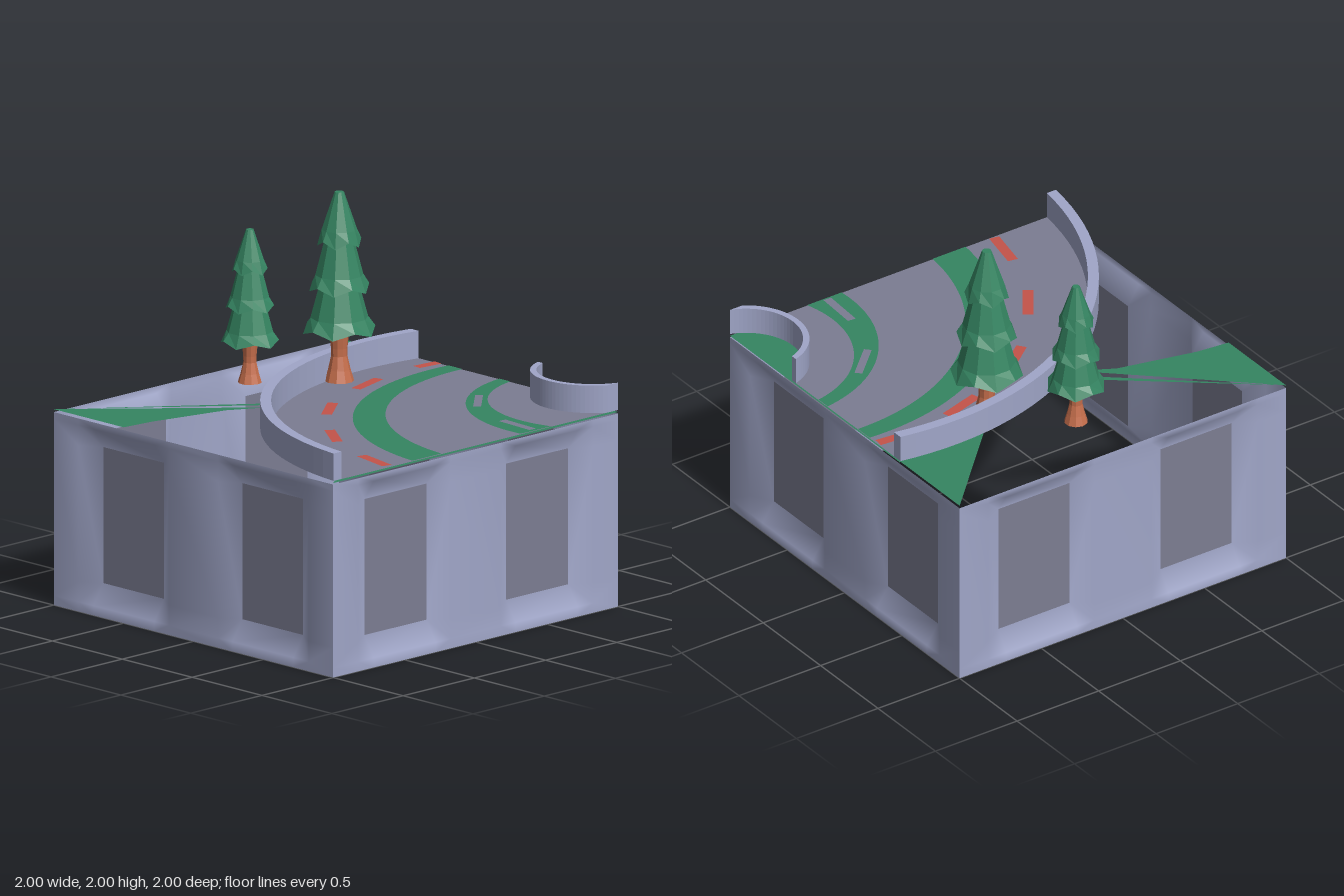
import * as THREE from 'three';

const mat = (name, color) => {
  const m = new THREE.MeshStandardMaterial({ color, side: THREE.DoubleSide });
  m.name = name;
  return m;
};

export function createModel() {
  const stone = mat('paleStone', 0xa0a6c8);
  const asphalt = mat('asphalt', 0x7c7d92);
  const green = mat('grassGreen', 0x358562);
  const red = mat('markingRed', 0xc4534a);
  const bark = mat('bark', 0xc56e4c);

  const model = new THREE.Group();
  model.name = 'raisedCornerRoad';

  const add = (parent, name, geometry, material) => {
    const mesh = new THREE.Mesh(geometry, material);
    mesh.name = name;
    parent.add(mesh);
    return mesh;
  };

  // Flat or raised piece from [x, z] points, starting at height y
  const plan = (name, points, y, material, height = 0) => {
    const shape = new THREE.Shape(points.map(([x, z]) => new THREE.Vector2(x, -z)));
    const geometry = height
      ? new THREE.ExtrudeGeometry(shape, { depth: height, bevelEnabled: false })
      : new THREE.ShapeGeometry(shape);
    geometry.rotateX(-Math.PI / 2);
    geometry.translate(0, y, 0);
    return add(model, name, geometry, material);
  };

  // Arc clipped by the front edge (z = 1) and the left edge (x = 1)
  const arc = ([cx, cz, r], n = 32) => {
    const a0 = Math.PI - Math.asin((1 - cz) / r);
    const a1 = 2 * Math.PI - Math.acos((1 - cx) / r);
    return Array.from({ length: n + 1 }, (_, i) => {
      const a = a0 + (a1 - a0) * i / n;
      return [cx + r * Math.cos(a), cz + r * Math.sin(a)];
    });
  };
  const band = (outer, inner) => [...arc(outer), ...arc(inner).reverse()];

  // Walls: a grid with two sloping recesses each
  const xs = [-1, -0.825, -0.715, -0.28, -0.175, 0.175, 0.28, 0.715, 0.825, 1];
  const ys = [0, 0.05, 0.155, 0.86, 0.965, 1];
  const deepColumn = i => [2, 3, 6, 7].includes(i);
  const positions = [], allFaces = [], wallFaces = [];
  ys.forEach((y, j) => xs.forEach((x, i) => {
    const deep = deepColumn(i) && (j === 2 || j === 3);
    positions.push(x, y, deep ? 0.932 : 1);
    if (i === xs.length - 1 || j === ys.length - 1) return;
    const a = j * xs.length + i, b = a + 1, c = a + xs.length, d = c + 1;
    // Alternate the diagonal so recess corners fold properly
    const flip = (j === 1) === (i === 3 || i === 7);
    const quad = flip ? [a, b, c, b, d, c] : [a, b, d, a, d, c];
    allFaces.push(...quad);
    if (!(j === 2 && (i === 2 || i === 6))) wallFaces.push(...quad);
  }));
  const wallGeometry = new THREE.BufferGeometry();
  wallGeometry.setAttribute('position', new THREE.Float32BufferAttribute(positions, 3));
  wallGeometry.setIndex(allFaces);
  wallGeometry.computeVertexNormals();
  wallGeometry.setIndex(wallFaces);
  const panelGeometry = new THREE.PlaneGeometry(0.435, 0.705);

  ['front', 'left', 'back', 'right'].forEach((side, k) => {
    const wall = new THREE.Group();
    wall.name = side + 'Wall';
    wall.rotation.y = k * Math.PI / 2;
    add(wall, 'wallFace', wallGeometry, stone);
    for (const s of [-1, 1]) {
      add(wall, 'recessPanel', panelGeometry, asphalt).position.set(s * 0.4975, 0.5075, 0.932);
    }
    model.add(wall);
  });

  // Ground pieces beneath and behind the road
  plan('innerGround', [[-1, 1], [1, -0.48], [1, 1]], 1.008, green);
  plan('backRightGround',
    [[-1, -1], [-1, -0.5], [-0.82, -0.48], [-0.4, -0.38], [-0.21, -0.275]], 1.015, green);
  plan('groundSliver', [[-1, -1], [-0.17, -0.3], [-0.13, -0.31]], 1.015, green);
  plan('backLeftGround', [[1, -1], [0.5, -0.5], [0.7, -0.51], [1, -0.48]], 1.015, green);

  // Curving road, painted bands and curbs
  const outerCurb = [0.68, 1.17, 1.685], outerCurbInside = [0.68, 1.17, 1.63];
  const innerCurb = [1.09, 0.73, 0.317], innerCurbInside = [1.09, 0.73, 0.285];
  plan('road', band(outerCurb, innerCurb), 1.018, asphalt);
  plan('outerBand', band([0.9, 1.13, 1.35], [0.97, 1.1, 1.215]), 1.021, green);
  plan('innerBand', band([1.1, 0.93, 0.787], [1.1, 0.82, 0.6]), 1.021, green);
  plan('outerCurb', band(outerCurb, outerCurbInside), 1.018, stone, 0.142);
  plan('innerCurb', band(innerCurb, innerCurbInside), 1.018, stone, 0.142);

  // Lane dashes: centre x, z, direction x, z, length, width
  const dash = (name, material, [x, z, dx, dz, length, width]) => {
    const geometry = new THREE.PlaneGeometry(length, width).rotateX(-Math.PI / 2);
    const mesh = add(model, name, geometry, material);
    mesh.position.set(x, 1.024, z);
    mesh.rotation.y = Math.atan2(-dz, dx);
  };
  [
    [-0.585, 0.87, 0.2, -0.98, 0.235, 0.055],
    [-0.39, 0.38, 0.57, -0.82, 0.235, 0.055],
    [-0.03, -0.015, 0.79, -0.61, 0.235, 0.055],
    [0.45, -0.235, 0.96, -0.28, 0.235, 0.055],
    [0.925, -0.29, 0.99, 0.1, 0.14, 0.055],
  ].forEach(d => dash('redDash', red, d));
  [
    [0.61, 0.395, 0.73, -0.68, 0.23, 0.04],
    [0.42, 0.87, 0.06, -1, 0.235, 0.045],
  ].forEach(d => dash('greyDash', asphalt, d));

  // Faceted lathe; rimIndex names the profile point whose ring is scalloped
  const facetedLathe = (profile, rimIndex = -1) => {
    const points = profile.map(p => new THREE.Vector2(...p));
    const lathe = new THREE.LatheGeometry(points, 10);
    const pos = lathe.attributes.position;
    for (let i = 0; rimIndex >= 0 && i <= 10; i++) {
      const v = i * points.length + rimIndex;
      pos.setY(v, pos.getY(v) + (i % 2 ? 0.025 : -0.008));
    }
    const flat = lathe.toNonIndexed();
    flat.computeVertexNormals();
    return flat;
  };

  // Pine trees: flared trunk and three overlapping skirts
  const trunkGeometry = facetedLathe(
    [[0, 0], [0.075, 0], [0.057, 0.06], [0.041, 0.13], [0.042, 0.17], [0.054, 0.29]]);
  const tier = (rim, y0, top, y1) => facetedLathe([
    [0, y0 + 0.04], [rim * 0.6, y0 + 0.035], [rim, y0],
    [rim * 0.8, y0 + 0.075], [top, y1], [0, y1],
  ], 2);
  const tiers = [
    tier(0.183, 0.255, 0.1, 0.5),
    tier(0.152, 0.475, 0.075, 0.73),
    tier(0.112, 0.71, 0.024, 0.978),
  ];
  const tree = (name, x, z, scale, turn) => {
    const group = new THREE.Group();
    group.name = name;
    add(group, 'trunk', trunkGeometry, bark);
    tiers.forEach(g => add(group, 'foliage', g, green));
    group.position.set(x, 1.02, z);
    group.scale.setScalar(scale);
    group.rotation.y = turn;
    model.add(group);
  };
  tree('tallTree', 0.405, -0.39, 1, 0.3);
  tree('smallTree', 0.062, -0.68, 0.81, 0);

  return model;
}
